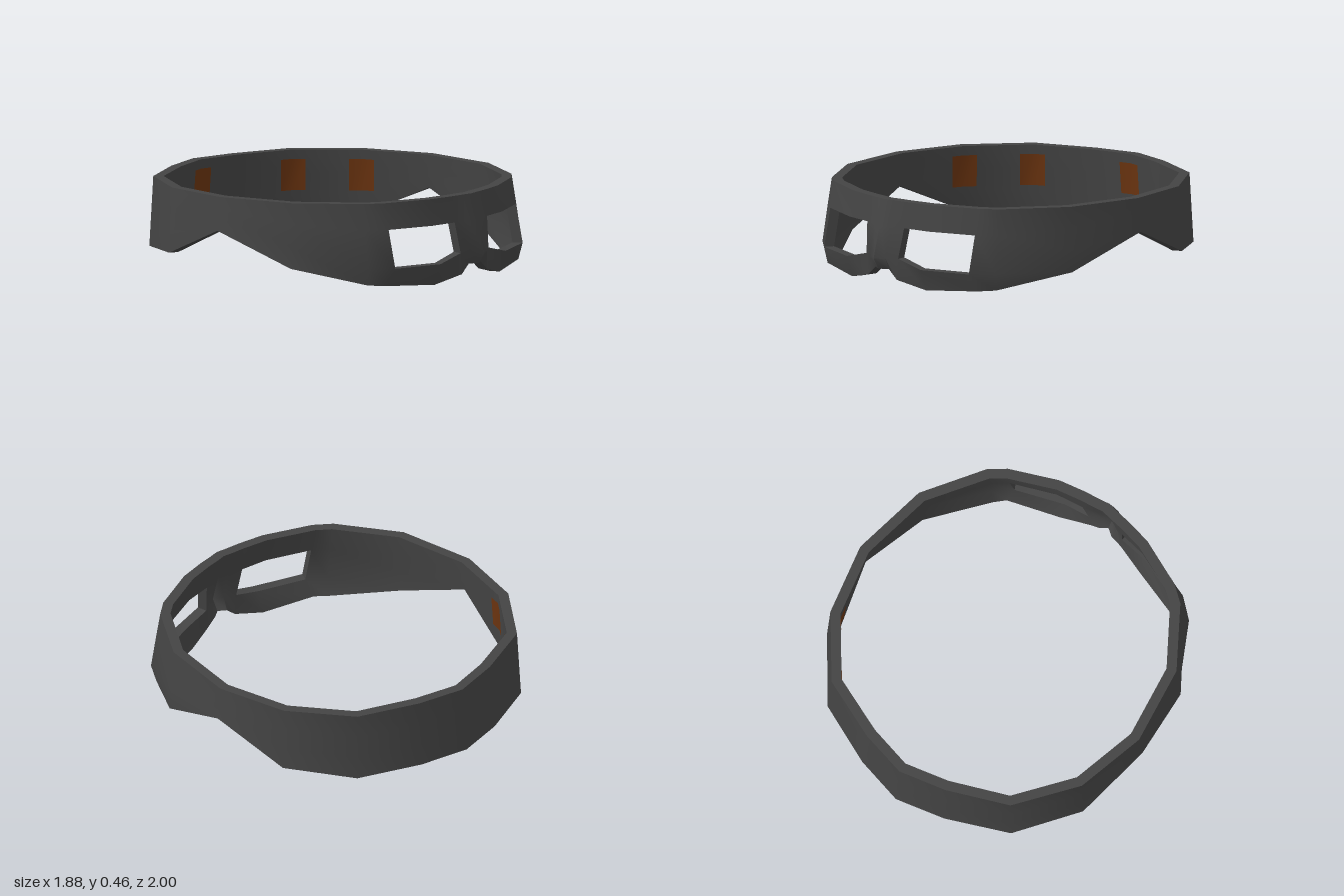
import * as THREE from 'three';
import { toCreasedNormals } from 'three/addons/utils/BufferGeometryUtils.js';

const TOP = 0.46, ROWS = 4, THICK = 0.055;

// Face columns, nose to temple: brow, eye top, eye bottom, lower rim [x, y, z]
const face = [
  [[0, TOP, 0.91], [0, 0.32, 0.95], [0, 0.15, 0.995], [0, 0.09, 0.96]],
  [[0.06, TOP, 0.9], [0.06, 0.32, 0.93], [0.06, 0.15, 0.965], [0.05, 0.09, 0.93]],
  [[0.14, TOP, 0.89], [0.14, 0.32, 0.905], [0.12, 0.155, 0.93], [0.11, 0.04, 0.93]],
  [[0.29, TOP, 0.86], [0.3, 0.32, 0.88], [0.28, 0.115, 0.92], [0.28, 0, 0.88]],
  [[0.55, TOP, 0.75], [0.55, 0.32, 0.78], [0.55, 0.115, 0.825], [0.57, 0.02, 0.78]],
  [[0.64, TOP, 0.68], [0.65, 0.32, 0.7], [0.66, 0.12, 0.73], [0.64, 0.025, 0.71]],
];
// Strap columns, temple to back: top x, z, lower x, z, lower y
const strap = [
  [0.85, 0.36, 0.87, 0.37, 0.11],
  [0.92, -0.07, 0.94, -0.07, 0.28],
  [0.83, -0.46, 0.845, -0.47, 0.11],
  [0.59, -0.775, 0.605, -0.79, 0.085],
  [0.26, -0.91, 0.27, -0.935, 0.09],
  [0, -0.97, 0, -1, 0.095],
];

function buildColumns() {
  const half = face.map(col => col.map(p => new THREE.Vector3(...p)));
  for (const [tx, tz, bx, bz, by] of strap) {
    const a = new THREE.Vector3(tx, TOP, tz), b = new THREE.Vector3(bx, by, bz);
    half.push([0, 1, 2, 3].map(r => a.clone().lerp(b, r / 3)));
  }
  const mirrored = half.slice(1, -1).reverse()
    .map(col => col.map(p => new THREE.Vector3(-p.x, p.y, p.z)));
  return [...half, ...mirrored];
}

// Offset every column inwards, square to the top edge
function insetColumns(outer) {
  const n = outer.length;
  return outer.map((col, i) => {
    const t = outer[(i + 1) % n][0].clone().sub(outer[(i + n - 1) % n][0]).normalize();
    const inward = new THREE.Vector3(t.z, 0, -t.x).multiplyScalar(THICK);
    return col.map(p => p.clone().add(inward));
  });
}

function meshFromQuads(name, quads, material, crease) {
  const pos = [];
  for (const [a, b, c, d] of quads) {
    for (const p of [a, b, c, a, c, d]) pos.push(p.x, p.y, p.z);
  }
  let geo = new THREE.BufferGeometry();
  geo.setAttribute('position', new THREE.Float32BufferAttribute(pos, 3));
  geo = toCreasedNormals(geo, crease);
  const mesh = new THREE.Mesh(geo, material);
  mesh.name = name;
  return mesh;
}

// Closed band with two eye openings; open cell edges get a rim wall
function bandQuads(outer, inner) {
  const n = outer.length, quads = [];
  const solid = (i, r) => {
    i = (i + n) % n;
    const k = Math.min(i, n - 1 - i);
    return r >= 0 && r < ROWS - 1 && !(r === 1 && (k === 2 || k === 3));
  };
  for (let i = 0; i < n; i++) {
    for (let r = 0; r < ROWS - 1; r++) {
      if (!solid(i, r)) continue;
      const j = (i + 1) % n;
      const cell = [[i, r], [i, r + 1], [j, r + 1], [j, r]];
      quads.push(cell.map(([c, s]) => outer[c][s]));
      quads.push(cell.map(([c, s]) => inner[c][s]).reverse());
      const neighbours = [[i - 1, r], [i, r + 1], [i + 1, r], [i, r - 1]];
      neighbours.forEach(([c, s], e) => {
        if (solid(c, s)) return;
        const [pc, pr] = cell[e], [qc, qr] = cell[(e + 1) % 4];
        quads.push([outer[qc][qr], outer[pc][pr], inner[pc][pr], inner[qc][qr]]);
      });
    }
  }
  return quads;
}

// Small patch folded around one corner of the strap's inside
function patchQuads(inner, k) {
  const at = (c, y) => {
    const a = inner[c][0], b = inner[c][ROWS - 1];
    return a.clone().lerp(b, (a.y - y) / (a.y - b.y));
  };
  const point = (side, y) => {
    const p = at(k, y);
    if (side) {
      const q = at(k + side, y);
      p.lerp(q, 0.07 / p.distanceTo(q));
    }
    return p.multiply(new THREE.Vector3(0.994, 1, 0.994));
  };
  return [[-1, 0], [0, 1]].map(([a, b]) =>
    [point(a, 0.41), point(b, 0.41), point(b, 0.24), point(a, 0.24)]);
}

export function createModel() {
  const group = new THREE.Group();
  group.name = 'eyeMask';
  const cloth = new THREE.MeshStandardMaterial({ color: 0x444444 });
  const patchMaterial = new THREE.MeshStandardMaterial({ color: 0x6b3410, side: THREE.DoubleSide });

  const outer = buildColumns();
  const inner = insetColumns(outer);
  group.add(meshFromQuads('maskBand', bandQuads(outer, inner), cloth, 0.8));

  // Inner patches along the back of the strap
  for (const k of [8, 9, 11, 13, 14]) {
    group.add(meshFromQuads('innerPatch', patchQuads(inner, k), patchMaterial, 0.8));
  }
  return group;
}
